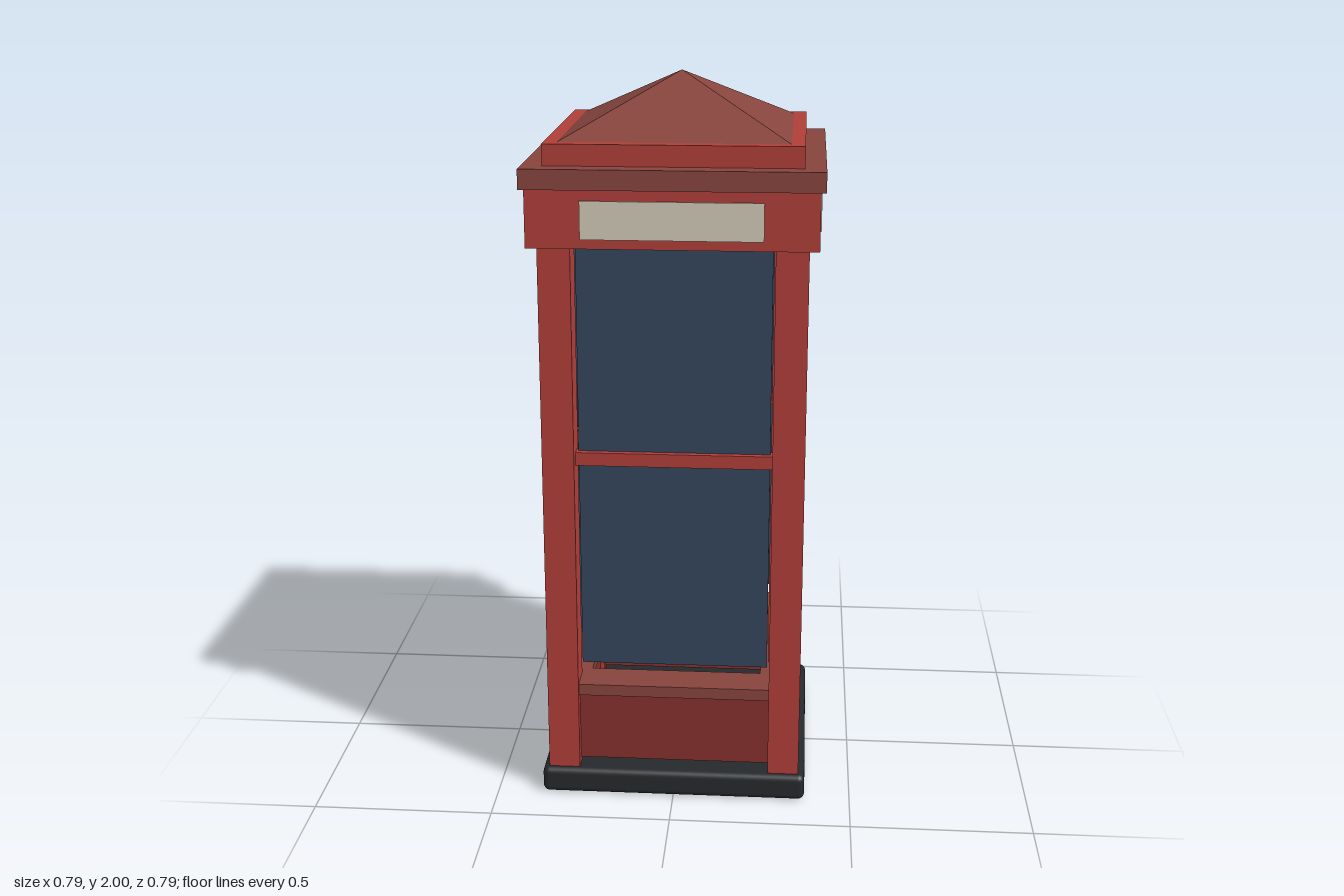
import * as THREE from 'three';
import { RoundedBoxGeometry } from 'three/addons/geometries/RoundedBoxGeometry.js';

const paint = (color) => new THREE.MeshStandardMaterial({ color });

export function createModel() {
  const model = new THREE.Group();
  model.name = 'phoneBooth';

  const red = paint(0xb03e39);
  const darkRed = paint(0x86302d);
  const trim = paint(0x87443d);
  const glass = paint(0x34465c);
  const cream = paint(0xd0cab8);
  const black = paint(0x26292c);

  // Box given by its lower and upper corners
  function box(parent, name, material, [x0, y0, z0], [x1, y1, z1]) {
    const mesh = new THREE.Mesh(new THREE.BoxGeometry(x1 - x0, y1 - y0, z1 - z0), material);
    mesh.position.set((x0 + x1) / 2, (y0 + y1) / 2, (z0 + z1) / 2);
    mesh.name = name;
    parent.add(mesh);
    return mesh;
  }

  // Square slab centred on the axis
  const slab = (name, material, half, y0, y1) =>
    box(model, name, material, [-half, y0, -half], [half, y1, half]);

  // Plinth with softened edges
  const base = new THREE.Mesh(new RoundedBoxGeometry(0.744, 0.075, 0.744, 4, 0.018), black);
  base.position.y = 0.0375;
  base.name = 'base';
  model.add(base);

  // Corner posts
  for (const sx of [-1, 1]) {
    for (const sz of [-1, 1]) {
      const post = box(model, 'cornerPost', red, [-0.0435, 0.07, -0.0435], [0.0435, 1.59, 0.0435]);
      post.position.x = sx * 0.3105;
      post.position.z = sz * 0.3105;
    }
  }

  // Four walls, each built facing +z and turned into place
  const sides = [
    ['frontWall', 0, true],
    ['leftWall', Math.PI / 2, false],
    ['backWall', Math.PI, true],
    ['doorWall', -Math.PI / 2, true],
  ];
  for (const [name, angle, glazed] of sides) {
    const wall = new THREE.Group();
    wall.name = name;
    wall.rotation.y = angle;
    model.add(wall);

    box(wall, 'lowerPanel', darkRed, [-0.268, 0.09, 0.28], [0.268, 0.3, 0.322]);
    box(wall, 'sill', trim, [-0.268, 0.297, 0.24], [0.268, 0.33, 0.346]);
    box(wall, 'signPanel', cream, [-0.237, 1.608, 0.37], [0.237, 1.708, 0.384]);
    if (glazed) {
      box(wall, 'windowPane', glass, [-0.26, 0.38, 0.292], [0.26, 1.59, 0.304]);
      box(wall, 'crossBar', red, [-0.268, 0.973, 0.285], [0.268, 1.01, 0.322]);
    } else {
      box(wall, 'solidPanel', red, [-0.268, 0.38, 0.262], [0.268, 1.59, 0.322]);
    }
  }

  // Door handle on the outside, telephone and shelf on the inside
  box(model, 'doorHandle', trim, [-0.335, 0.7, -0.245], [-0.262, 0.73, -0.17]);
  box(model, 'telephone', black, [-0.292, 0.88, -0.09], [-0.2, 1.13, 0.09]);
  box(model, 'shelf', black, [-0.292, 0.705, -0.1], [-0.18, 0.73, 0.1]);

  // Header, cornice and roof step
  slab('header', red, 0.38, 1.583, 1.737);
  slab('cornice', trim, 0.393, 1.737, 1.79);
  slab('roofStep', red, 0.338, 1.79, 1.846);

  // Pyramid roof
  const roofGeometry = new THREE.ConeGeometry(0.302 * Math.SQRT2, 0.154, 4, 1).toNonIndexed();
  roofGeometry.rotateY(Math.PI / 4);
  roofGeometry.computeVertexNormals();
  const roof = new THREE.Mesh(roofGeometry, trim);
  roof.position.y = 1.846 + 0.077;
  roof.name = 'roof';
  model.add(roof);

  return model;
}
